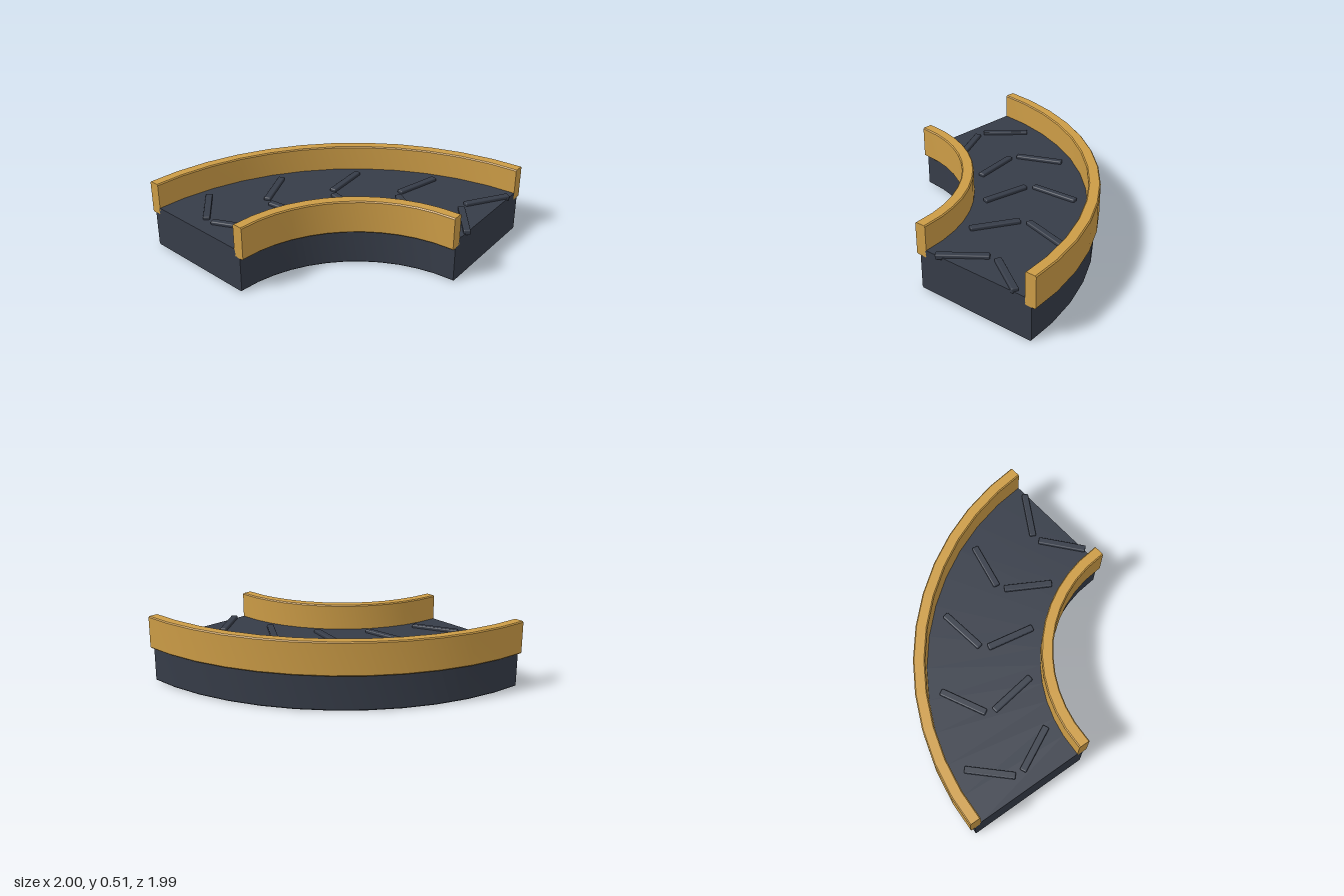
import * as THREE from 'three';
import { toCreasedNormals } from 'three/addons/utils/BufferGeometryUtils.js';
import { RoundedBoxGeometry } from 'three/addons/geometries/RoundedBoxGeometry.js';

const CENTER = 0.9575;   // x and z of the bend's centre
const RADIUS = 1.4625;   // radius of the belt's centre line
const STEPS = 12;
const DEG = Math.PI / 180;

// Bevelled rectangle, counter-clockwise, as [offset from centre line, height]
function bevelledRect(d0, d1, y0, y1, b) {
  return [[d0 + b, y0], [d1 - b, y0], [d1, y0 + b], [d1, y1 - b],
    [d1 - b, y1], [d0 + b, y1], [d0, y1 - b], [d0, y0 + b]];
}

// Sweep a convex profile round the quarter bend
function sweepBend(profile) {
  const pos = [], index = [], n = profile.length;
  for (let i = 0; i <= STEPS; i++) {
    const a = (i * 90 / STEPS) * DEG;
    // the two ends are cut square to their last straight segment
    const m = Math.min(Math.max(a, 3.75 * DEG), 86.25 * DEG);
    for (const [d, y] of profile) {
      pos.push(CENTER - RADIUS * Math.sin(a) - d * Math.sin(m), y,
        CENTER - RADIUS * Math.cos(a) - d * Math.cos(m));
    }
  }
  for (let i = 0; i < STEPS; i++) {
    for (let j = 0; j < n; j++) {
      const k = (j + 1) % n, p = i * n, q = p + n;
      index.push(p + j, q + j, p + k, p + k, q + j, q + k);
    }
  }
  const last = STEPS * n;
  for (let j = 1; j < n - 1; j++) {
    index.push(0, j, j + 1, last, last + j + 1, last + j);
  }
  const geo = new THREE.BufferGeometry();
  geo.setAttribute('position', new THREE.Float32BufferAttribute(pos, 3));
  geo.setIndex(index);
  return toCreasedNormals(geo, 30 * DEG);
}

export function createModel() {
  const group = new THREE.Group();
  group.name = 'curvedConveyor';
  const dark = new THREE.MeshStandardMaterial({ color: 0x363c48 });
  dark.name = 'darkSlate';
  const gold = new THREE.MeshStandardMaterial({ color: 0xcc9c46 });
  gold.name = 'ochre';

  function add(name, geometry, material) {
    const mesh = new THREE.Mesh(geometry, material);
    mesh.name = name;
    group.add(mesh);
    return mesh;
  }

  // Base, belt and side rails
  add('base', sweepBend(bevelledRect(-0.464, 0.464, 0, 0.268, 0.008)), dark);
  add('belt', sweepBend(bevelledRect(-0.42, 0.42, 0.266, 0.318, 0.008)), dark);
  add('outerRail', sweepBend(bevelledRect(0.411, 0.496, 0.262, 0.508, 0.008)), gold);
  add('innerRail', sweepBend(bevelledRect(-0.496, -0.411, 0.262, 0.508, 0.008)), gold);

  // Raised chevrons: two bars spreading from a point on the centre line
  const barGeo = new RoundedBoxGeometry(0.36, 0.04, 0.05, 2, 0.009);
  for (let i = 0; i < 5; i++) {
    const a = (8 + 19.3 * i) * DEG;
    const heading = -(5 + 18.4 * i) * DEG;
    for (const side of [1, -1]) {
      const dir = heading - side * 55.5 * DEG;
      const r = RADIUS + side * 0.03;
      const bar = add('chevronBar', barGeo, dark);
      bar.position.set(CENTER - r * Math.sin(a) + 0.18 * Math.cos(dir), 0.321,
        CENTER - r * Math.cos(a) + 0.18 * Math.sin(dir));
      bar.rotation.y = -dir;
    }
  }
  return group;
}
